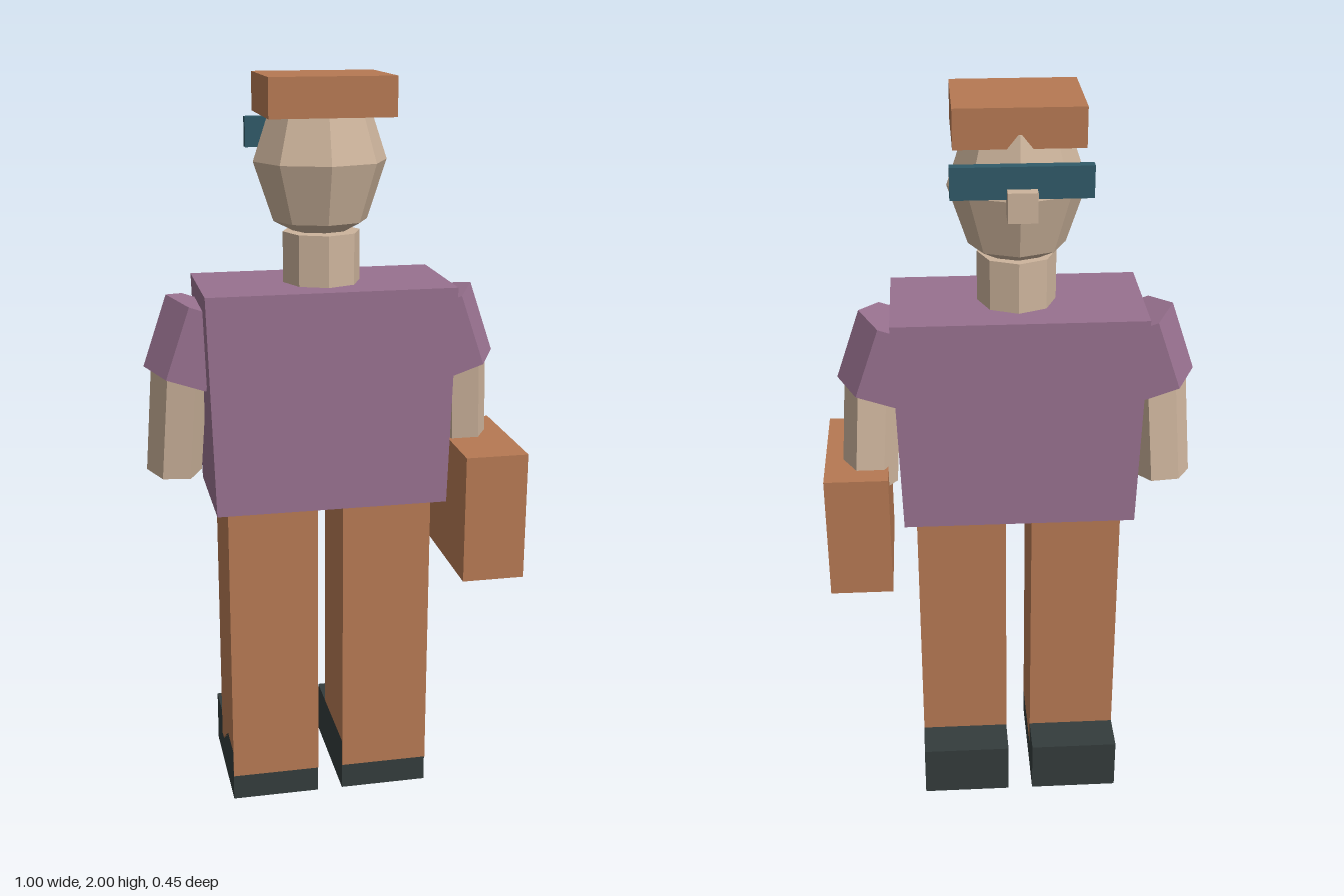
import * as THREE from 'three';

const CX = -0.023; // the body's own centre line

function material(name, color) {
  const m = new THREE.MeshStandardMaterial({ color });
  m.name = name;
  return m;
}

// Faceted copy of a geometry: every face gets its own normal
function faceted(geometry) {
  const g = geometry.index ? geometry.toNonIndexed() : geometry;
  g.computeVertexNormals();
  return g;
}

export function createModel() {
  const group = new THREE.Group();
  const skin = material('skin', 0xcdb49c);
  const purple = material('purple shirt', 0x98718f);
  const orange = material('orange brown', 0xb67953);
  const dark = material('dark shoe', 0x343c3c);
  const teal = material('teal glasses', 0x305a68);

  function add(name, geometry, mat) {
    const mesh = new THREE.Mesh(geometry, mat);
    mesh.name = name;
    group.add(mesh);
    return mesh;
  }

  // Box given by its limits on each axis
  function box(name, mat, [x0, x1], [y0, y1], [z0, z1]) {
    const g = new THREE.BoxGeometry(x1 - x0, y1 - y0, z1 - z0);
    g.translate((x0 + x1) / 2, (y0 + y1) / 2, (z0 + z1) / 2);
    return add(name, g, mat);
  }

  // Six-sided limb from a bottom point to a top point
  function limb(name, mat, radius, bottom, top) {
    const a = new THREE.Vector3(...bottom);
    const b = new THREE.Vector3(...top);
    const dir = b.clone().sub(a);
    const g = new THREE.CylinderGeometry(radius, radius, dir.length(), 6);
    g.rotateY(Math.PI / 2);
    const mesh = add(name, faceted(g), mat);
    mesh.position.copy(a).add(b).multiplyScalar(0.5);
    mesh.quaternion.setFromUnitVectors(new THREE.Vector3(0, 1, 0), dir.normalize());
  }

  // Torso, slightly narrower at the waist
  const torso = new THREE.BoxGeometry(0.66, 0.588, 0.333);
  const p = torso.attributes.position;
  for (let i = 0; i < p.count; i++) {
    if (p.getY(i) < 0) p.setX(i, p.getX(i) * 0.945);
  }
  torso.translate(CX, 1.172, 0.009);
  add('torso', faceted(torso), purple);

  // Legs, shoes, sleeves and forearms on both sides
  for (const s of [-1, 1]) {
    const side = s < 0 ? 'right' : 'left';
    const x = CX + s * 0.157;
    const span = [x - 0.122, x + 0.122];
    box(side + 'Leg', orange, span, [0.075, 0.878], [-0.118, 0.135]);
    box(side + 'Shoe', dark, span, [0, 0.15], [-0.227, 0.13]);
    limb(side + 'Sleeve', purple, 0.107,
      [CX + s * 0.377, 1.22, 0.008], [CX + s * 0.312, 1.41, 0.008]);
    limb(side + 'Forearm', skin, 0.075,
      [CX + s * 0.403, 0.953, -0.024], [CX + s * 0.385, 1.24, 0.012]);
  }

  // Neck and head, both eight-sided
  const neck = add('neck', faceted(new THREE.CylinderGeometry(0.103, 0.103, 0.15, 8)), skin);
  neck.position.set(CX, 1.525, 0.012);
  const head = new THREE.SphereGeometry(1, 8, 4);
  head.scale(0.177, 0.218, 0.155);
  add('head', faceted(head), skin).position.set(CX, 1.78, 0);

  // Face details, at the back of the frame
  box('nose', skin, [-0.06, 0.013], [1.75, 1.825], [-0.212, -0.13]);
  box('glasses', teal, [-0.197, 0.15], [1.8, 1.88], [-0.182, -0.155]);

  // Hat and carried case
  box('hat', orange, [-0.185, 0.14], [1.9, 2], [-0.108, 0.17]);
  box('case', orange, [0.328, 0.5], [0.66, 1.015], [-0.142, 0.227]);

  return group;
}
